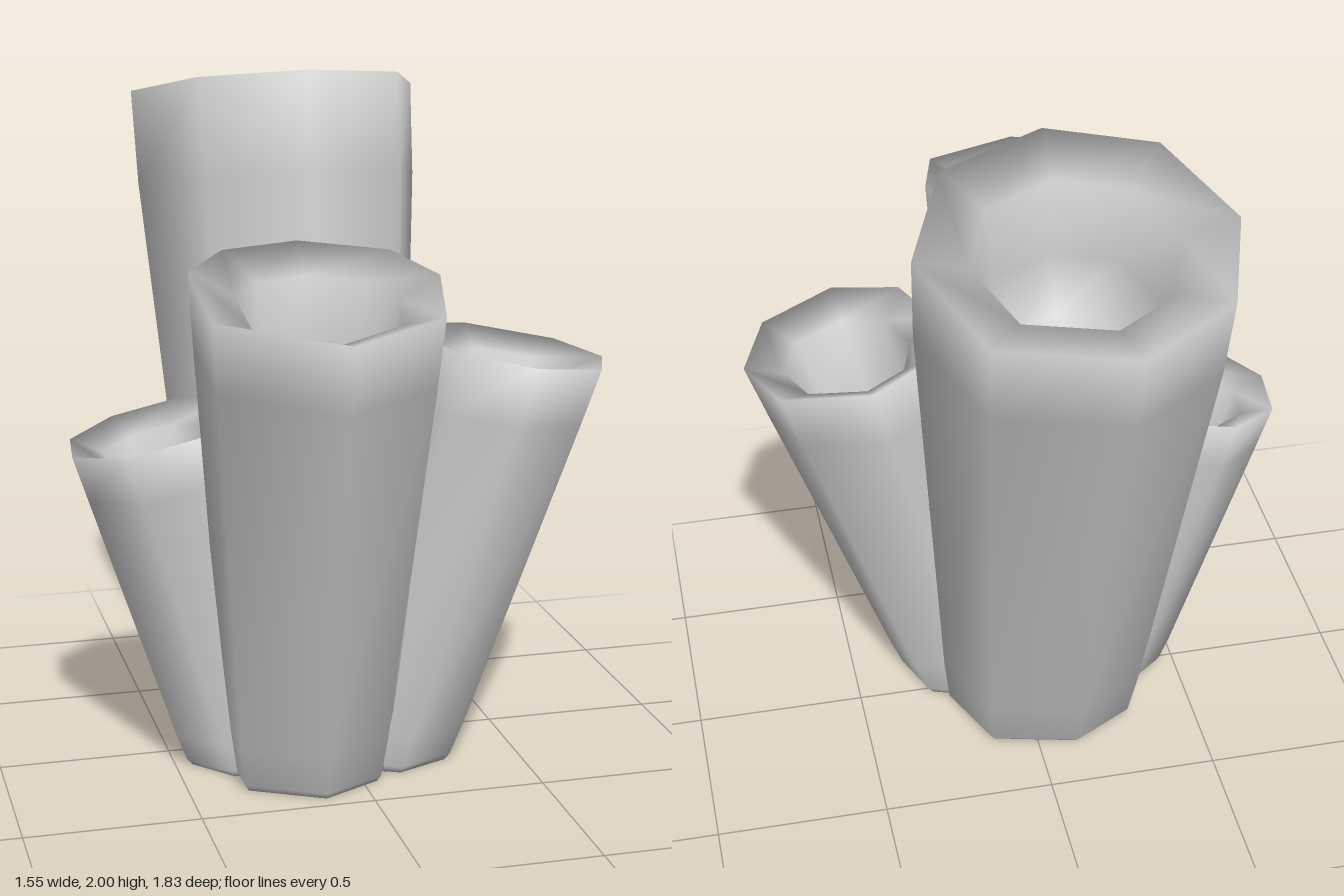
import * as THREE from 'three';

const grey = new THREE.MeshStandardMaterial({ color: 0xcccccc });
grey.name = 'pale grey';

// Each tube: rim outline (x, z), rim centre, rim slopes along x and z, foot centre and foot scale
const tubes = [
  {
    name: 'tallBackTube', centre: [-0.05, 1.9, -0.49], slope: [0, 0.24], foot: [-0.06, -0.05], scale: 0.69, bulge: 1.02,
    rim: [[0.38, -0.51], [0.25, -0.2], [-0.05, -0.08], [-0.35, -0.18], [-0.49, -0.48], [-0.4, -0.77], [-0.13, -0.92], [0.24, -0.83]],
  },
  {
    name: 'frontTube', centre: [-0.17, 1.495, 0.58], slope: [0, -0.22], foot: [-0.13, 0.25], scale: 0.66, bulge: 1,
    rim: [[0.17, 0.51], [0.11, 0.77], [-0.17, 0.91], [-0.5, 0.73], [-0.5, 0.41], [-0.38, 0.28], [-0.16, 0.24], [0.08, 0.33]],
  },
  {
    name: 'rightTube', centre: [0.48, 1.22, 0.17], slope: [-0.17, 0], foot: [0.13, 0.12], scale: 0.74, bulge: 1,
    rim: [[0.77, 0.17], [0.69, 0.38], [0.47, 0.47], [0.28, 0.38], [0.2, 0.17], [0.26, -0.03], [0.44, -0.12], [0.69, -0.03]],
  },
  {
    name: 'shortLeftTube', centre: [-0.55, 1.01, 0.05], slope: [0.22, 0], foot: [-0.27, 0.06], scale: 0.85, bulge: 1,
    rim: [[-0.3, -0.03], [-0.33, 0.16], [-0.45, 0.27], [-0.65, 0.27], [-0.78, 0.12], [-0.76, -0.06], [-0.62, -0.17], [-0.42, -0.17]],
  },
];

// Hollow tube lofted from the foot up, over the rim and down into the cup
function makeTube({ name, centre, slope, foot, scale, bulge, rim }) {
  const h = centre[1];
  const mix = THREE.MathUtils.lerp;
  const rings = [ // [height along the axis, outline scale]
    [0, 0.001],
    [0, scale * 0.93],
    [0.02 / h, scale * 0.98],
    [0.1, mix(scale, 1, 0.1)],
    [0.86, mix(scale, 1, 0.88) * bulge],
    [1, 1],
    [1 - 0.05 / h, 0.65],
    [1 - 0.28 / h, 0.6],
    [1 - 0.4 / h, 0.34],
    [1 - 0.43 / h, 0.001],
  ];
  const n = rim.length;
  const positions = [];
  const index = [];
  rings.forEach(([t, s], i) => {
    const cx = mix(foot[0], centre[0], t);
    const cz = mix(foot[1], centre[2], t);
    rim.forEach(([x, z], j) => {
      const dx = (x - centre[0]) * s;
      const dz = (z - centre[2]) * s;
      positions.push(cx + dx, t * h + t * (slope[0] * dx + slope[1] * dz), cz + dz);
      if (i === rings.length - 1) return;
      const a = i * n + j;
      const b = i * n + (j + 1) % n;
      index.push(a, a + n, b, b, a + n, b + n);
    });
  });
  const geometry = new THREE.BufferGeometry();
  geometry.setAttribute('position', new THREE.Float32BufferAttribute(positions, 3));
  geometry.setIndex(index);
  geometry.computeVertexNormals();
  const mesh = new THREE.Mesh(geometry, grey);
  mesh.name = name;
  return mesh;
}

export function createModel() {
  const model = new THREE.Group();
  model.name = 'tubeCluster';
  tubes.forEach((tube) => model.add(makeTube(tube)));

  // Core that joins the tubes and fills the hollow between them
  const profile = [[0, 0.01], [0.24, 0.01], [0.29, 0.45], [0.32, 0.8], [0.25, 0.9], [0, 0.86]];
  const core = new THREE.Mesh(
    new THREE.LatheGeometry(profile.map(([x, y]) => new THREE.Vector2(x, y)), 12),
    grey,
  );
  core.name = 'joiningCore';
  core.position.set(-0.03, 0, 0.1);
  model.add(core);
  return model;
}
